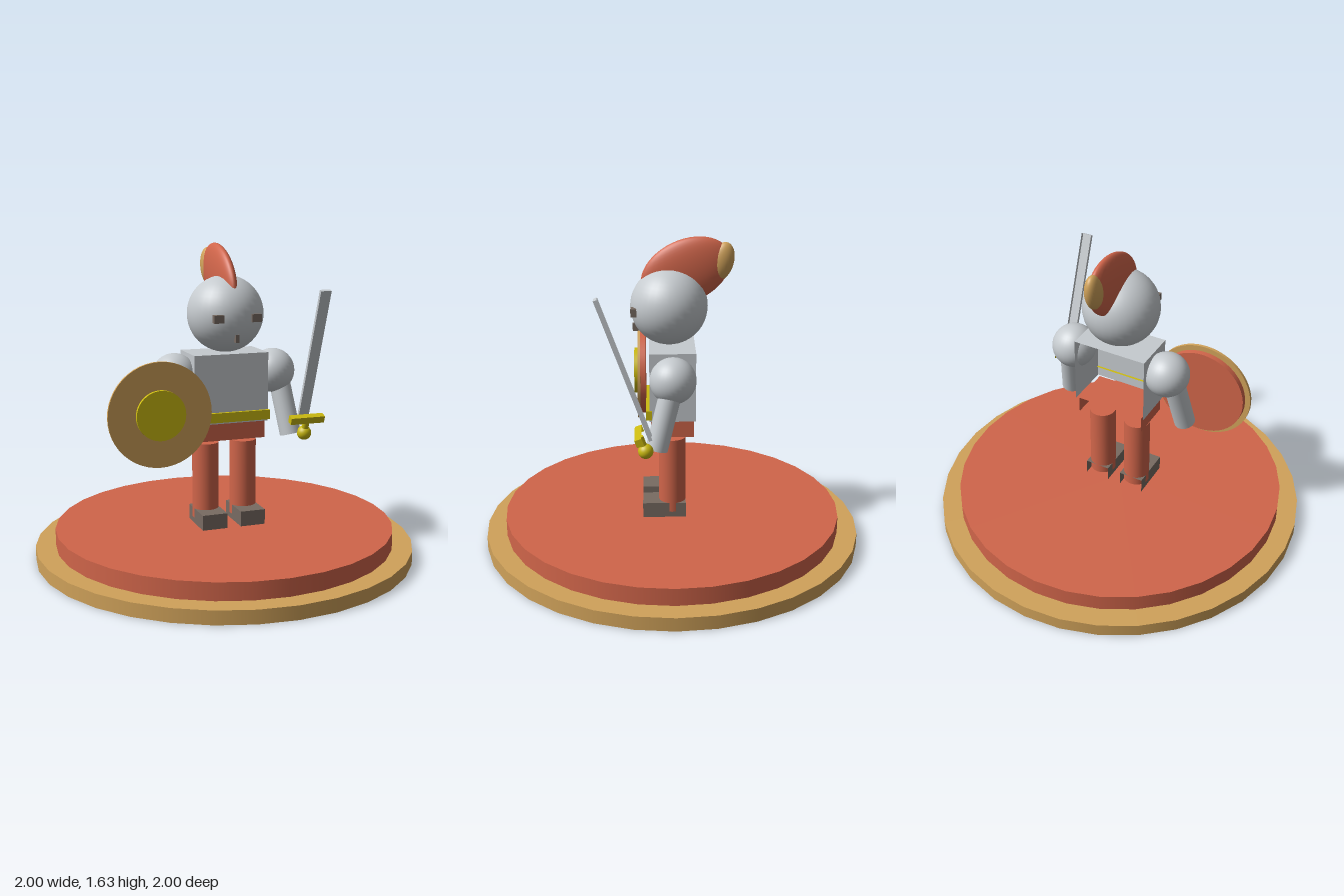
import * as THREE from 'three';

const mat = (name, color) => {
  const m = new THREE.MeshStandardMaterial({ color, side: THREE.DoubleSide });
  m.name = name;
  return m;
};

export function createModel() {
  const red = mat('red', 0xd0654a);
  const gold = mat('gold', 0xd0a25a);
  const yellow = mat('yellow', 0xccbb10);
  const silver = mat('silver', 0xc6cbcf);
  const brown = mat('brown', 0x786b62);
  const model = new THREE.Group();
  model.name = 'toyKnight';

  const add = (name, geometry, material, x, y, z, parent = model) => {
    const mesh = new THREE.Mesh(geometry, material);
    mesh.name = name;
    mesh.position.set(x, y, z);
    parent.add(mesh);
    return mesh;
  };
  // box shell without its bottom and back faces
  const shell = (w, h, d) => {
    const g = new THREE.BoxGeometry(w, h, d);
    const i = Array.from(g.index.array);
    g.setIndex([...i.slice(0, 18), ...i.slice(24, 30)]);
    g.clearGroups();
    return g;
  };
  const disc = (r, h, sides = 32) => new THREE.CylinderGeometry(r, r, h, sides);
  const ball = (r) => new THREE.SphereGeometry(r, 32, 24);
  const rod = (name, r, a, b, material, parent = model) => {
    const from = new THREE.Vector3(...a), to = new THREE.Vector3(...b);
    const dir = to.clone().sub(from);
    const mid = from.clone().add(to).multiplyScalar(0.5);
    const mesh = add(name, disc(r, dir.length(), 24), material, mid.x, mid.y, mid.z, parent);
    mesh.quaternion.setFromUnitVectors(new THREE.Vector3(0, 1, 0), dir.normalize());
    return mesh;
  };

  // stepped round base
  add('baseRim', disc(1, 0.07), gold, 0, 0.035, 0);
  add('basePlatform', disc(0.895, 0.09), red, 0, 0.115, 0);

  // legs, feet, arms and eyes on both sides
  for (const [side, s] of [['left', 1], ['right', -1]]) {
    add(side + 'Leg', disc(0.07, 0.405), red, s * 0.105, 0.4025, 0);
    add(side + 'Foot', shell(0.135, 0.08, 0.225), brown, s * 0.105, 0.21, 0.0425);
    add(side + 'Shoulder', ball(0.117), silver, s * 0.272, 0.965, 0);
    rod(side + 'Arm', 0.056, [s * 0.3, 0.96, 0], [s * 0.345, 0.63, 0.083], silver);
    add(side + 'Eye', shell(0.05, 0.04, 0.03), brown, s * 0.1, 1.27, 0.195);
  }

  // body
  add('torso', shell(0.4, 0.36, 0.235), silver, 0, 0.9, 0);
  add('skirt', shell(0.37, 0.09, 0.22), red, 0, 0.675, 0);
  add('belt', shell(0.41, 0.05, 0.03), yellow, 0, 0.755, 0.12);

  // head with crest
  add('head', ball(0.198), silver, 0, 1.278, 0.015);
  add('mouth', shell(0.018, 0.04, 0.03), brown, 0, 1.168, 0.186);
  const crest = add('crest', ball(1), red, 0, 1.455, -0.07);
  crest.scale.set(0.05, 0.16, 0.24);
  crest.rotation.x = THREE.MathUtils.degToRad(25);
  const tip = add('crestTip', ball(1), gold, 0, 1.505, -0.252);
  tip.scale.set(0.04, 0.1, 0.06);
  tip.rotation.x = THREE.MathUtils.degToRad(-15);

  // round shield on the right arm
  const shield = new THREE.Group();
  shield.name = 'shield';
  shield.position.set(-0.4, 0.803, 0);
  model.add(shield);
  for (const [name, r, depth, z, m] of [
    ['shieldBack', 0.24, 0.03, 0.153, red],
    ['shieldFace', 0.268, 0.015, 0.175, gold],
    ['shieldBoss', 0.127, 0.02, 0.192, yellow],
  ]) add(name, disc(r, depth, 48), m, 0, 0, z, shield).rotation.x = Math.PI / 2;

  // sword leaning forward in the left hand
  const lean = THREE.MathUtils.degToRad(20);
  const sword = new THREE.Group();
  sword.name = 'sword';
  sword.position.x = 0.4;
  model.add(sword);
  add('blade', shell(0.057, 0.75, 0.018), silver, 0, 1.06, 0.24, sword).rotation.x = lean;
  add('guard', shell(0.19, 0.038, 0.036), yellow, 0, 0.723, 0.168, sword).rotation.x = lean;
  rod('grip', 0.018, [0, 0.64, 0.137], [0, 0.72, 0.166], yellow, sword);
  add('pommel', ball(0.038), yellow, 0, 0.643, 0.137, sword);

  return model;
}
